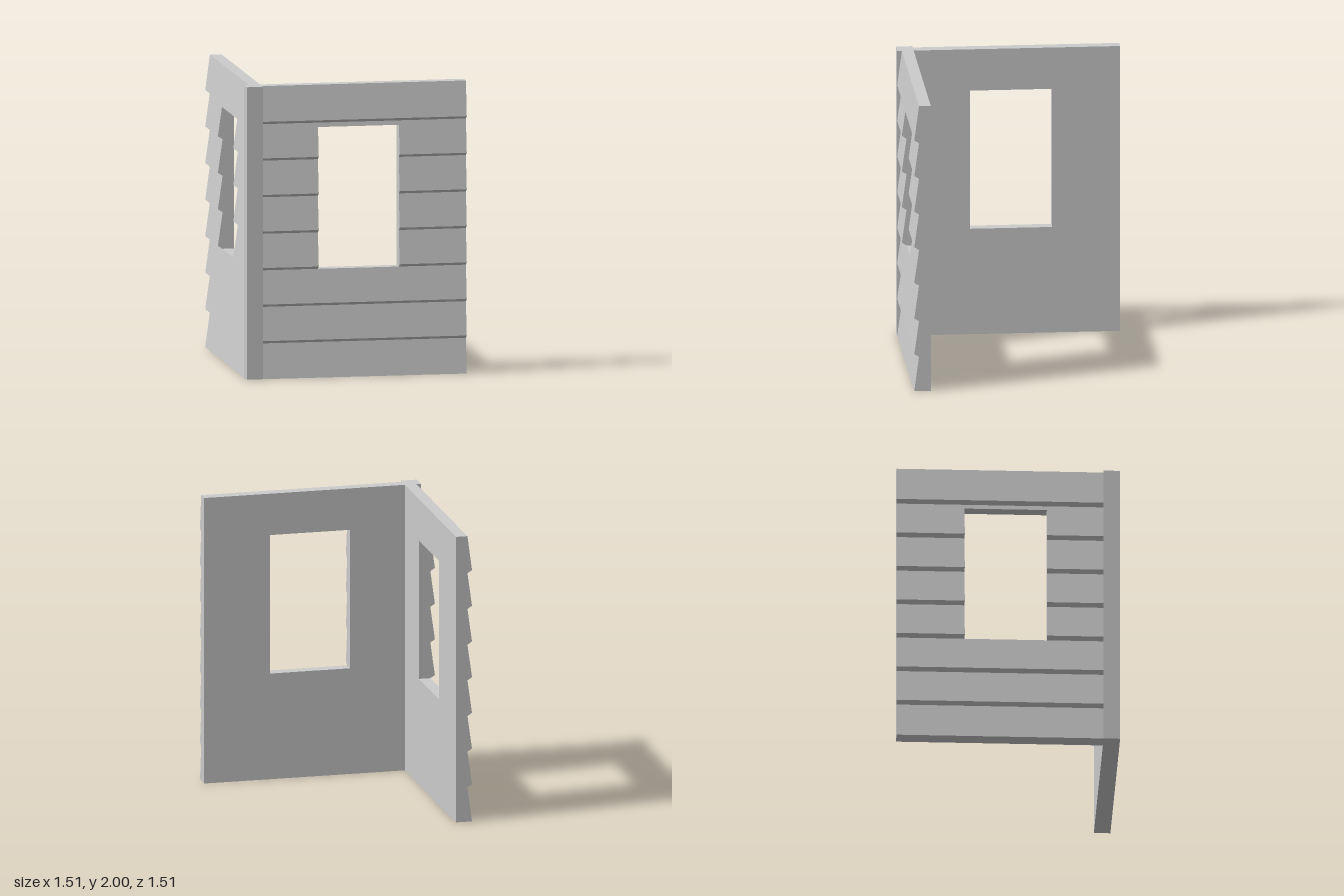
import * as THREE from 'three';
import { mergeGeometries } from 'three/addons/utils/BufferGeometryUtils.js';

const HEIGHT = 2, BOARD = 0.25, LIP = 0.01;
const INNER = 0.645, RECESS = 0.725, OUTER = 0.757;
const WINDOW = { u0: -0.262, u1: 0.295, y0: 0.74, y1: 1.71 };

// Outer face of the lapped boards as [depth, height], from the ground up
function sidingLine() {
  const line = [[OUTER, 0]];
  for (let y = BOARD; y < HEIGHT; y += BOARD) line.push([RECESS, y - LIP], [OUTER, y + LIP]);
  line.push([RECESS, HEIGHT]);
  return line;
}

// Depth of the siding at a given height
function depthAt(line, y) {
  const i = Math.max(1, line.findIndex((p) => p[1] >= y));
  const [a, b] = [line[i - 1], line[i]];
  return a[0] + ((b[0] - a[0]) * (y - a[1])) / (b[1] - a[1]);
}

// Piece of wall between heights y0..y1, running u0..u1 away from the corner
function wallPiece(u0, u1, y0, y1) {
  const line = sidingLine();
  const points = [
    [INNER, y0],
    [depthAt(line, y0), y0],
    ...line.filter((p) => p[1] > y0 + 1e-4 && p[1] < y1 - 1e-4),
    [depthAt(line, y1), y1],
    [INNER, y1],
  ].map(([d, y]) => new THREE.Vector2(d, y));
  const geometry = new THREE.ExtrudeGeometry(new THREE.Shape(points), { depth: u1 - u0, bevelEnabled: false });
  return geometry.translate(0, 0, u0);
}

// Whole wall with its window opening; depth runs along x, length along z
function wallGeometry(start, end) {
  const { u0, u1, y0, y1 } = WINDOW;
  return mergeGeometries([
    wallPiece(start, u0, 0, HEIGHT),
    wallPiece(u1, end, 0, HEIGHT),
    wallPiece(u0, u1, 0, y0),
    wallPiece(u0, u1, y1, HEIGHT),
  ]);
}

export function createModel() {
  const group = new THREE.Group();
  const material = new THREE.MeshStandardMaterial({ color: 0xcccccc, flatShading: true });
  const add = (name, geometry) => {
    const mesh = new THREE.Mesh(geometry, material);
    mesh.name = name;
    group.add(mesh);
  };

  // Side wall runs back from the corner, siding facing -x
  add('sideWall', wallGeometry(-INNER, OUTER).rotateY(Math.PI));

  // Front wall is the same wall seen in a mirror, so its length is reversed first
  const front = wallGeometry(-INNER, OUTER);
  front.rotateY(-Math.PI / 2); // length now runs toward -x
  const { u0, u1, y0, y1 } = WINDOW;
  front.dispose();
  add('frontWall', mergeGeometries([
    wallPiece(-u0, INNER, 0, HEIGHT),
    wallPiece(-OUTER, -u1, 0, HEIGHT),
    wallPiece(-u1, -u0, 0, y0),
    wallPiece(-u1, -u0, y1, HEIGHT),
  ]).rotateY(-Math.PI / 2));

  // Square post joining the two walls
  const size = OUTER - INNER, middle = (OUTER + INNER) / 2;
  add('cornerPost', new THREE.BoxGeometry(size, HEIGHT, size).translate(-middle, HEIGHT / 2, middle));

  return group;
}
